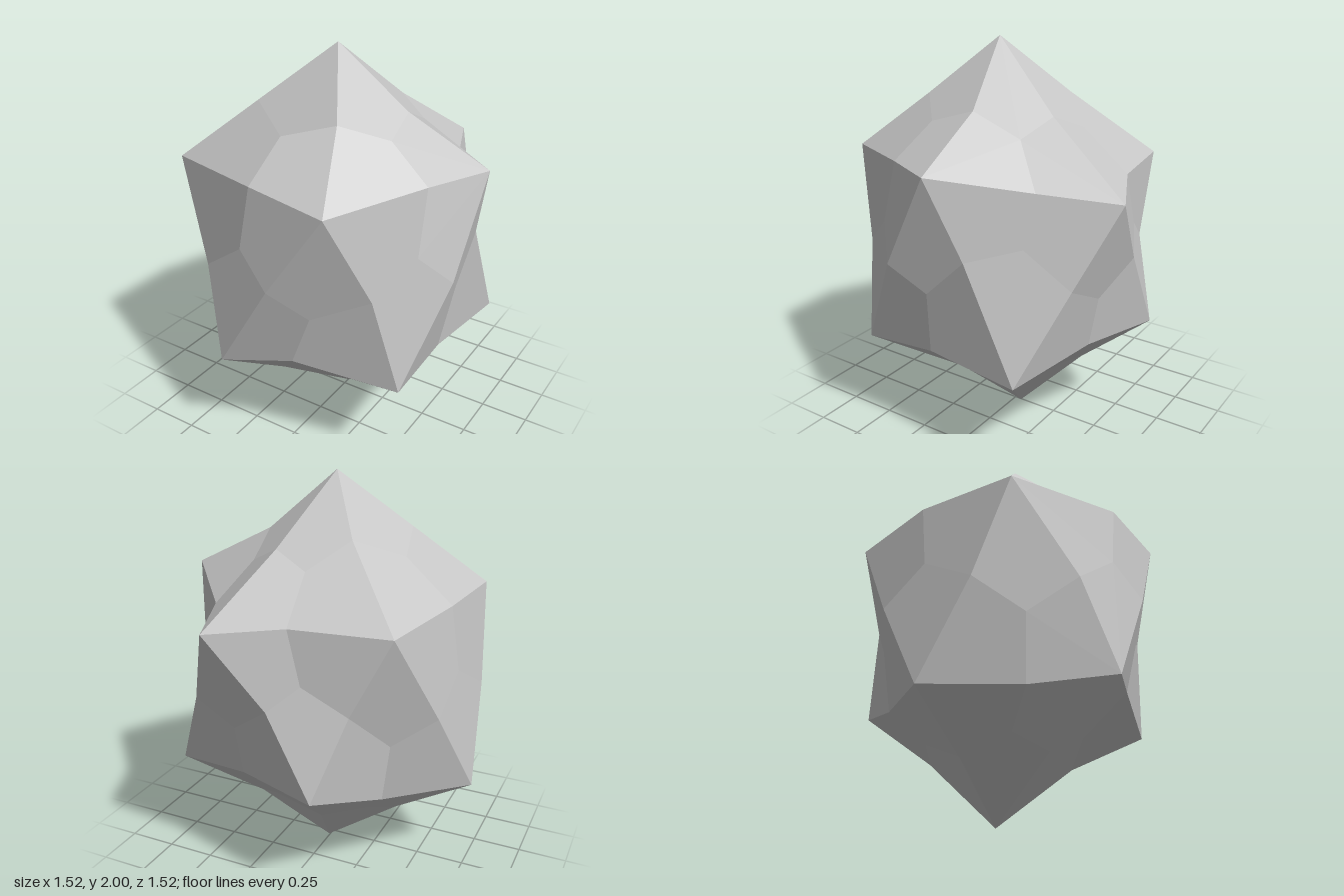
import * as THREE from 'three';

// Rough 20-sided stone: every triangular face is split into three kites that
// meet at its centre, with the edge middles knocked slightly out of line.
// Rings run counterclockwise seen from above, starting at the front left.
const TOP = [0.015, 2, 0.08];
const BOTTOM = [0.005, 0, -0.04];
const UPPER = [[-0.665, 1.42, 0.455], [0.345, 1.44, 0.72], [0.76, 1.49, -0.025], [0.295, 1.375, -0.765], [-0.525, 1.39, -0.515]];
const LOWER = [[-0.24, 0.535, 0.75], [0.605, 0.515, 0.49], [0.665, 0.535, -0.43], [-0.2, 0.595, -0.695], [-0.765, 0.46, 0.035]];

// Edge middles, one ring of five per band of edges
const CAP_MID = [[-0.32, 1.715, 0.265], [0.2, 1.72, 0.38], [0.35, 1.7, 0], [0.15, 1.675, -0.31], [-0.19, 1.725, -0.2]];
const UPPER_MID = [[-0.06, 1.485, 0.69], [0.6, 1.48, 0.27], [0.44, 1.4, -0.4], [-0.05, 1.4, -0.6], [-0.64, 1.43, -0.06]];
const FALL_MID = [[-0.38, 0.98, 0.64], [0.49, 1, 0.55], [0.66, 1.09, -0.16], [0.02, 1.02, -0.69], [-0.66, 0.93, -0.25]];
const RISE_MID = [[0.06, 1.02, 0.76], [0.73, 1.02, 0.23], [0.45, 0.98, -0.6], [-0.33, 1, -0.55], [-0.72, 0.93, 0.28]];
const LOWER_MID = [[0.1, 0.585, 0.63], [0.61, 0.55, 0.09], [0.22, 0.61, -0.57], [-0.43, 0.51, -0.37], [-0.46, 0.485, 0.4]];
const BASE_MID = [[-0.165, 0.27, 0.35], [0.29, 0.31, 0.23], [0.33, 0.29, -0.2], [-0.1, 0.33, -0.36], [-0.37, 0.25, 0]];

function buildStoneGeometry() {
  const positions = [];
  const normals = [];

  // One flat-shaded kite: corner, edge middle, face centre, edge middle
  function kite(corner, midA, centre, midB) {
    const across = midB.clone().sub(midA);
    const normal = centre.clone().sub(corner).cross(across).normalize();
    for (const p of [corner, midA, centre, corner, centre, midB]) {
      positions.push(p.x, p.y, p.z);
      normals.push(normal.x, normal.y, normal.z);
    }
  }

  // One face a-b-c with its edge middles ab, bc and ca
  function face(...points) {
    const [a, b, c, ab, bc, ca] = points.map((p) => new THREE.Vector3(...p));
    const centre = ab.clone().add(bc).add(ca).divideScalar(3);
    kite(a, ab, centre, ca);
    kite(b, bc, centre, ab);
    kite(c, ca, centre, bc);
  }

  for (let i = 0; i < 5; i++) {
    const j = (i + 1) % 5;
    face(TOP, UPPER[i], UPPER[j], CAP_MID[i], UPPER_MID[i], CAP_MID[j]);
    face(UPPER[i], LOWER[i], UPPER[j], FALL_MID[i], RISE_MID[i], UPPER_MID[i]);
    face(UPPER[j], LOWER[i], LOWER[j], RISE_MID[i], LOWER_MID[i], FALL_MID[j]);
    face(BOTTOM, LOWER[j], LOWER[i], BASE_MID[j], LOWER_MID[i], BASE_MID[i]);
  }

  const geometry = new THREE.BufferGeometry();
  geometry.setAttribute('position', new THREE.Float32BufferAttribute(positions, 3));
  geometry.setAttribute('normal', new THREE.Float32BufferAttribute(normals, 3));
  return geometry;
}

export function createModel() {
  const stoneGrey = new THREE.MeshStandardMaterial({ color: 0xc6c6c6 });
  stoneGrey.name = 'stone grey';

  const stone = new THREE.Mesh(buildStoneGeometry(), stoneGrey);
  stone.name = 'stone';

  const model = new THREE.Group();
  model.name = 'facetedRock';
  model.add(stone);
  return model;
}
